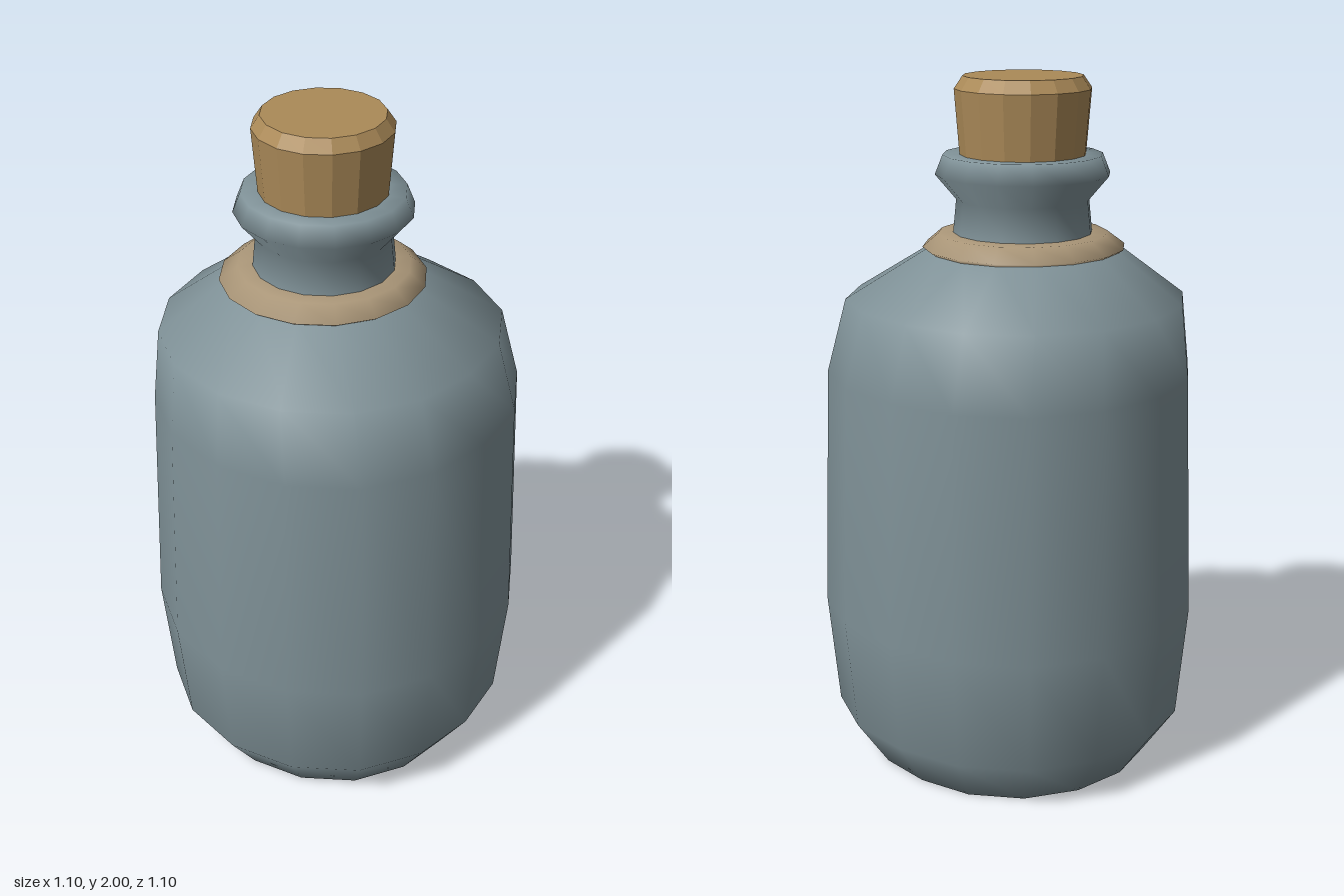
import * as THREE from 'three';

const SIDES = 16;

// Lathe whose rings drift off-axis: each profile row is [radius, y, centreX, centreZ]
function leaningLathe(rows, { flat = false, dent = 0 } = {}) {
  const points = rows.map(([r, y]) => new THREE.Vector2(r, y));
  const geometry = new THREE.LatheGeometry(points, SIDES);
  const pos = geometry.attributes.position;
  for (let i = 0; i < pos.count; i++) {
    const [, , cx = 0, cz = 0] = rows[i % rows.length];
    let x = pos.getX(i), z = pos.getZ(i);
    // slightly flatten the diagonals on the +x side
    const s = Math.sin(2 * Math.atan2(x, z));
    const k = x > 0 ? 1 - dent * s * s : 1;
    pos.setXYZ(i, x * k + cx, pos.getY(i), z * k + cz);
  }
  if (!flat) return geometry;
  const faceted = geometry.toNonIndexed();
  faceted.computeVertexNormals();
  return faceted;
}

export function createModel() {
  const group = new THREE.Group();
  const glass = new THREE.MeshStandardMaterial({ color: 0x7f9197 });
  const cork = new THREE.MeshStandardMaterial({ color: 0xab8a58 });
  const twine = new THREE.MeshStandardMaterial({ color: 0xaa9678 });
  glass.name = 'blue grey glass';
  cork.name = 'cork brown';
  twine.name = 'tan collar';

  const add = (name, geometry, material) => {
    const mesh = new THREE.Mesh(geometry, material);
    mesh.name = name;
    group.add(mesh);
  };

  // Body: base, belly and sloping shoulder
  add('body', leaningLathe([
    [0, 0], [0.42, 0], [0.517, 0.14], [0.548, 0.47], [0.524, 1.17],
    [0.485, 1.38, -0.017, 0], [0.27, 1.525, -0.04, -0.006], [0.19, 1.54, -0.04, -0.006],
  ], { dent: 0.04 }), glass);

  // Collar band at the foot of the neck
  add('collar', leaningLathe([
    [0.262, 1.51, -0.04, -0.007], [0.288, 1.527, -0.04, -0.007],
    [0.24, 1.565, -0.037, -0.006], [0.185, 1.567, -0.037, -0.005],
  ]), twine);

  // Neck flaring into the lip
  add('neck', leaningLathe([
    [0.199, 1.54], [0.197, 1.57], [0.188, 1.66], [0.247, 1.73], [0.225, 1.785], [0.165, 1.785],
  ].map(([r, y]) => [r, y, -0.037, -0.004])), glass);

  // Faceted stopper with a bevelled top
  add('stopper', leaningLathe([
    [0, 1.74], [0.174, 1.74], [0.192, 1.965], [0.168, 2], [0, 2],
  ].map(([r, y]) => [r, y, -0.037, -0.006]), { flat: true }), cork);

  return group;
}
